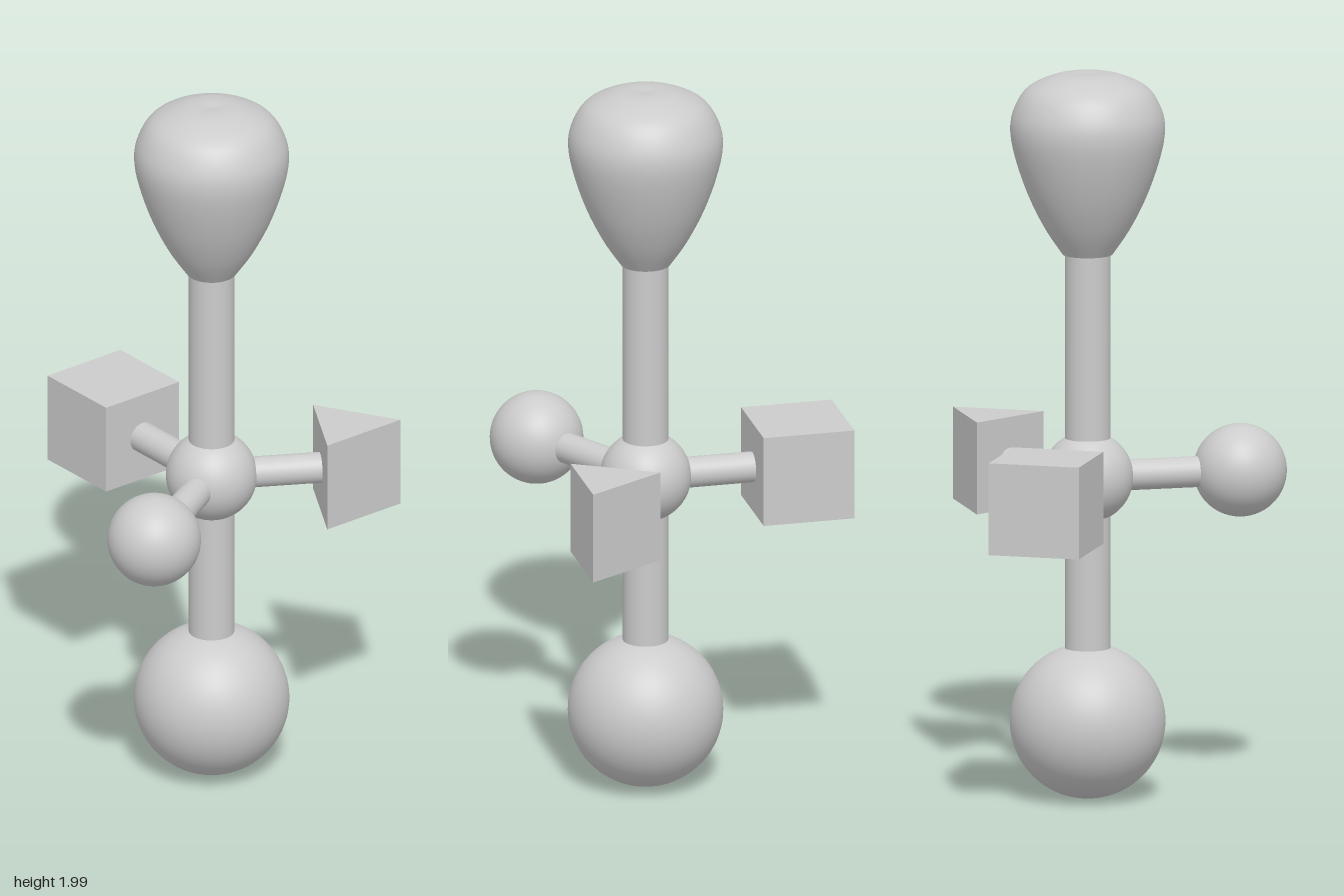
import * as THREE from 'three';

const material = new THREE.MeshStandardMaterial({ color: 0xcccccc });
const AXIS_X = 0.023, AXIS_Z = 0.105, HUB_Y = 0.887;

export function createModel() {
  const model = new THREE.Group();

  const add = (name, geometry, x, y, z) => {
    const mesh = new THREE.Mesh(geometry, material);
    mesh.name = name;
    mesh.position.set(x, y, z);
    model.add(mesh);
    return mesh;
  };

  // Central column: base ball, shaft and hub ball
  add('baseBall', new THREE.SphereGeometry(0.211, 64, 40), AXIS_X, 0.215, AXIS_Z);
  add('shaft', new THREE.CylinderGeometry(0.062, 0.062, 1.11, 48), AXIS_X, 0.965, AXIS_Z);
  add('hubBall', new THREE.SphereGeometry(0.124, 48, 32), AXIS_X, HUB_Y, AXIS_Z);

  // Pear-shaped knob on top
  const outline = new THREE.SplineCurve([
    [0.068, 1.5], [0.115, 1.57], [0.16, 1.66], [0.195, 1.76], [0.21, 1.84],
    [0.2, 1.9], [0.165, 1.955], [0.1, 1.988], [0.045, 1.998], [0, 1.995],
  ].map(([r, y]) => new THREE.Vector2(r, y)));
  const profile = [new THREE.Vector2(0, 1.5), new THREE.Vector2(0.068, 1.5), ...outline.getPoints(40)];
  profile[profile.length - 1].x = 0;
  add('topKnob', new THREE.LatheGeometry(profile, 64), AXIS_X, 0, AXIS_Z);

  // Three arms spaced evenly around the hub
  const arms = [
    ['backArm', Math.PI, 0.33],
    ['leftArm', Math.PI / 3, 0.33],
    ['rightArm', -Math.PI / 3, 0.36],
  ];
  for (const [name, angle, length] of arms) {
    const geometry = new THREE.CylinderGeometry(0.042, 0.042, length, 32);
    geometry.rotateX(Math.PI / 2).translate(0, 0, length / 2);
    add(name, geometry, AXIS_X, HUB_Y, AXIS_Z).rotation.y = angle;
  }

  // Solids at the arm ends: cube, ball and triangular prism
  add('cube', new THREE.BoxGeometry(0.253, 0.253, 0.253), AXIS_X, HUB_Y, -0.32);
  add('ball', new THREE.SphereGeometry(0.127, 48, 32), -0.347, HUB_Y, 0.317);

  const triangle = new THREE.Shape([
    new THREE.Vector2(-0.127, -0.073),
    new THREE.Vector2(0.127, -0.073),
    new THREE.Vector2(0, 0.146),
  ]);
  const prism = new THREE.ExtrudeGeometry(triangle, { depth: 0.253, bevelEnabled: false });
  prism.rotateX(-Math.PI / 2).translate(0, -0.1265, 0);
  add('triangularPrism', prism, 0.345, HUB_Y, 0.29);

  return model;
}
